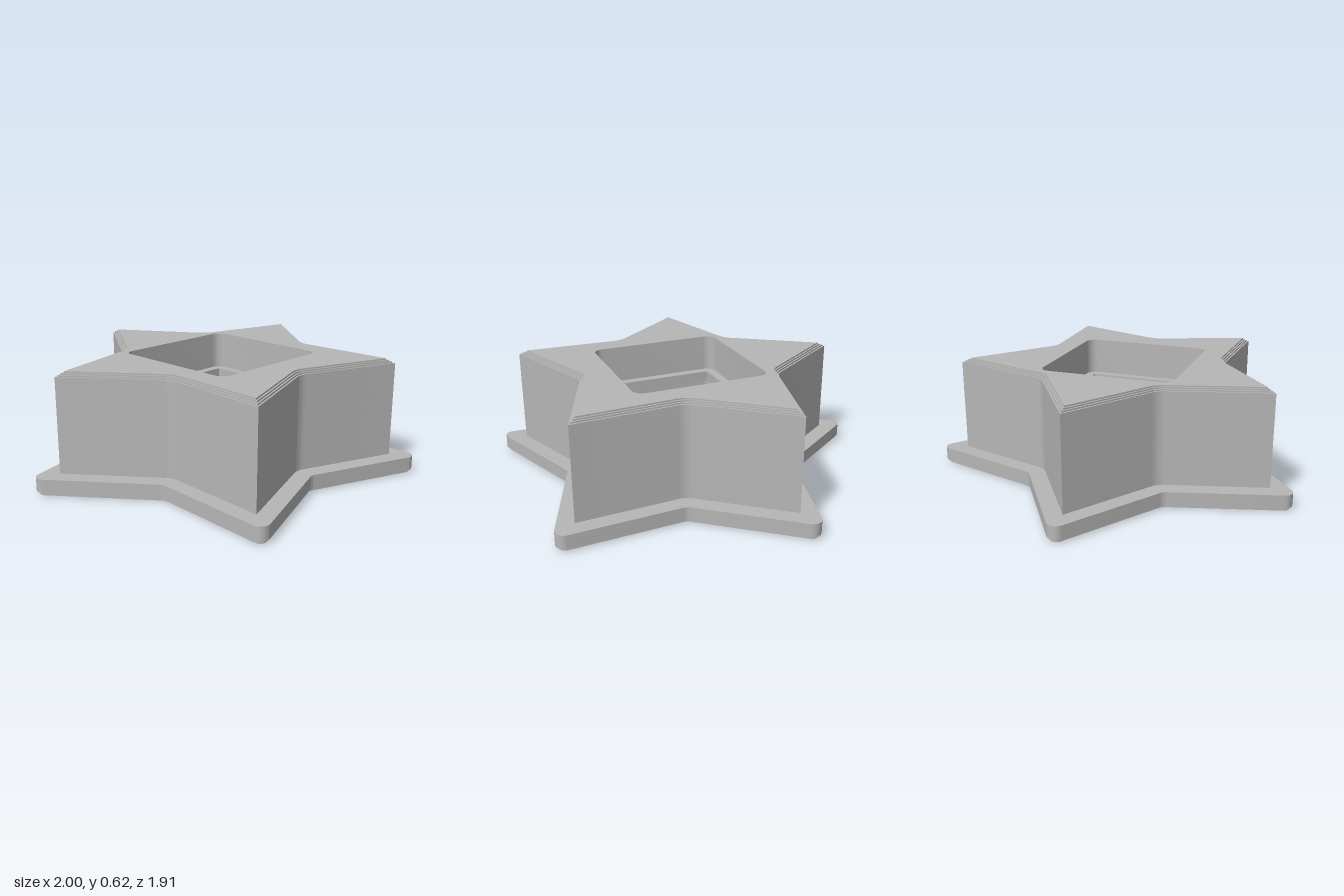
import * as THREE from 'three';
import { toCreasedNormals } from 'three/addons/utils/BufferGeometryUtils.js';

const CENTRE_Z = 0.094;
const TIP_R = 0.925, VALLEY_R = 0.545;
const TIP_HALF = Math.atan2(VALLEY_R * Math.sin(Math.PI / 5), TIP_R - VALLEY_R * Math.cos(Math.PI / 5));
const VALLEY_HALF = TIP_HALF + Math.PI / 5;

// Polygon points with each corner replaced by an arc of its own radius
function roundCorners(corners, radii, segments = 10) {
  const points = [];
  corners.forEach((p, i) => {
    const r = radii[i % radii.length];
    if (r < 0.001) { points.push(p.clone()); return; }
    const n = corners.length;
    const a = corners[(i + n - 1) % n].clone().sub(p).normalize();
    const b = corners[(i + 1) % n].clone().sub(p).normalize();
    const half = Math.acos(a.dot(b)) / 2;
    const centre = a.clone().add(b).normalize().multiplyScalar(r / Math.sin(half)).add(p);
    const start = a.clone().multiplyScalar(r / Math.tan(half)).add(p);
    const turn = Math.sign(b.cross(a)) * (Math.PI - 2 * half);
    for (let k = 0; k <= segments; k++) {
      points.push(start.clone().rotateAround(centre, turn * k / segments));
    }
  });
  return points;
}

// Five-pointed outline, its edges moved outward by d
function star(d, tipRound, valleyRound) {
  const corners = [];
  for (let i = 0; i < 10; i++) {
    const r = i % 2 ? VALLEY_R + d / Math.sin(VALLEY_HALF) : TIP_R + d / Math.sin(TIP_HALF);
    const a = Math.PI / 2 + i * Math.PI / 5;
    corners.push(new THREE.Vector2(r * Math.cos(a), r * Math.sin(a)));
  }
  return roundCorners(corners, [tipRound, valleyRound]);
}

function square(h, round) {
  const corners = [[-h, -h], [h, -h], [h, h], [-h, h]].map(([x, y]) => new THREE.Vector2(x, y));
  return roundCorners(corners, [round]);
}

// Upright slab from y0 to y1 with one opening
function slab(outline, opening, y0, y1) {
  const shape = new THREE.Shape(outline);
  shape.holes.push(new THREE.Path(opening));
  const geometry = new THREE.ExtrudeGeometry(shape, { depth: y1 - y0, bevelEnabled: false });
  geometry.rotateX(-Math.PI / 2).translate(0, y0, CENTRE_Z);
  return toCreasedNormals(geometry, 0.5);
}

export function createModel() {
  const model = new THREE.Group();
  const grey = new THREE.MeshStandardMaterial({ color: 0xb6b6b6 });
  grey.name = 'grey';

  const add = (name, ...args) => {
    const mesh = new THREE.Mesh(slab(...args), grey);
    mesh.name = name;
    model.add(mesh);
  };

  const hole = new THREE.Path().absarc(0, 0, 0.113, 0, Math.PI * 2).getPoints(32).slice(0, -1);
  const pocket = square(0.367, 0.055);
  const lip = square(0.318, 0);
  const flange = (inset) => star(0.09 - inset, 0.048 - inset, 0.05 + inset);
  const body = (inset) => star(-inset, 0, 0.1 + inset);
  const STEPS = 3, STEP = 0.009;

  // Flange with a stepped lower edge and a round hole in its floor
  const stepHeight = 0.02 / STEPS;
  for (let i = 0; i < STEPS; i++) {
    add('flangeStep' + (i + 1), flange((STEPS - i) * 0.006), hole, i * stepHeight, (i + 1) * stepHeight);
  }
  add('flangeFloor', flange(0), hole, 0.02, 0.06);
  add('flangeRim', flange(0), pocket, 0.06, 0.092);

  // Star body: lower cavity, square lip and upper pocket
  add('lowerBody', body(0), pocket, 0.092, 0.36);
  add('lipBody', body(0), lip, 0.36, 0.42);
  add('upperBody', body(0), pocket, 0.42, 0.6);

  // Stepped top edge
  for (let i = 0; i < STEPS; i++) {
    const h = 0.024 / STEPS;
    add('topStep' + (i + 1), body((i + 1) * STEP), pocket, 0.6 + i * h, 0.6 + (i + 1) * h);
  }
  return model;
}
